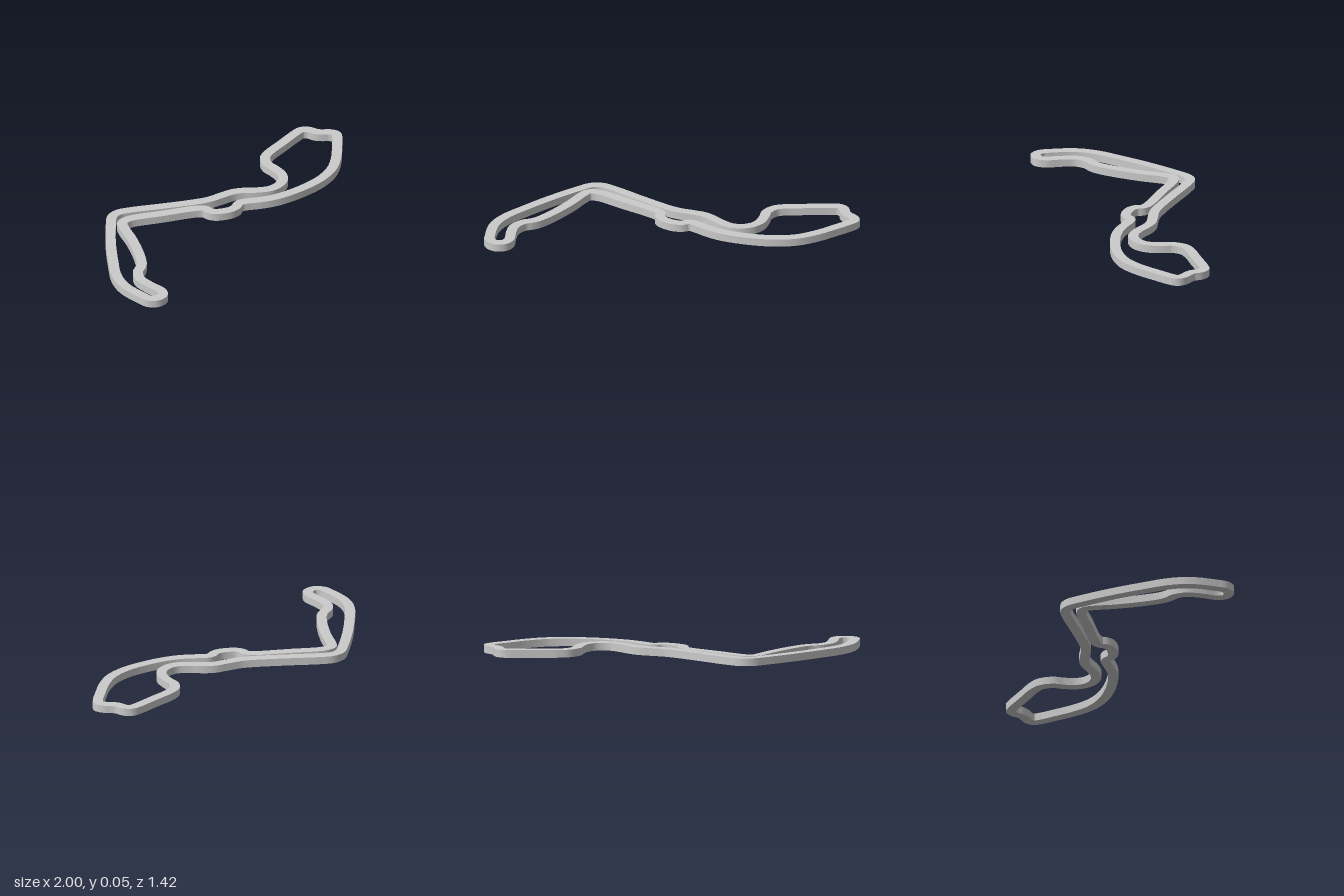
import * as THREE from 'three';

const HALF_WIDTH = 0.031;
const HEIGHT = 0.047;
const STEPS = 640;

// Centreline of the circuit as x, z pairs, clockwise seen from above
const upperStraight = [
  -.62, -.32, -.535, -.31, -.34, -.262, -.155, -.22, -.065, -.208, .03, -.216, .107, -.222,
  .166, -.209, .246, -.174, .33, -.155,
];
const rightLoop = [
  .396, -.174, .444, -.22, .463, -.283, .455, -.358, .44, -.422, .46, -.492, .508, -.535,
  .62, -.594, .765, -.67, .802, -.682, .84, -.666, .872, -.62, .904, -.599, .94, -.583,
  .968, -.551, .957, -.508, .904, -.406, .845, -.3, .765, -.198, .674, -.134, .567, -.091,
  .406, -.058, .3, -.053, .22, -.064,
];
const chicane = [
  .14, -.085, .096, -.092, .07, -.082, .048, -.06, 0, -.045, -.085, -.06, -.117, -.088,
  -.13, -.123, -.16, -.144, -.395, -.19,
];
const leftHairpin = [
  -.6, -.224, -.652, -.203, -.668, -.15, -.684, -.016, -.722, .16, -.76, .272, -.786, .31,
  -.823, .348, -.847, .422, -.829, .508, -.797, .604, -.807, .652, -.856, .676, -.904, .652,
  -.925, .604, -.963, .48, -.968, .4, -.952, .305, -.904, .176, -.824, -.016, -.727, -.209,
  -.674, -.294,
];

function centreline() {
  const flat = [...upperStraight, ...rightLoop, ...chicane, ...leftHairpin];
  const points = [];
  for (let i = 0; i < flat.length; i += 2) points.push(new THREE.Vector3(flat[i], 0, flat[i + 1]));
  const curve = new THREE.CatmullRomCurve3(points, true, 'centripetal');
  curve.arcLengthDivisions = 1500;
  return curve;
}

// Sweep a rectangle round the closed curve: each face has its own vertices, so edges stay sharp
function sweepRectangle(curve) {
  const corners = [[-1, 0], [-1, HEIGHT], [1, HEIGHT], [1, 0]]; // side (outer -1, inner +1), y
  const positions = [];
  const indices = [];
  for (let face = 0; face < 4; face++) {
    const edge = [corners[face], corners[(face + 1) % 4]];
    const base = positions.length / 3;
    for (let i = 0; i < STEPS; i++) {
      const p = curve.getPointAt(i / STEPS);
      const t = curve.getTangentAt(i / STEPS);
      for (const [side, y] of edge) {
        positions.push(p.x - t.z * side * HALF_WIDTH, y, p.z + t.x * side * HALF_WIDTH);
      }
      const a = base + 2 * i;
      const b = base + 2 * ((i + 1) % STEPS);
      indices.push(a, a + 1, b + 1, a, b + 1, b);
    }
  }
  const geometry = new THREE.BufferGeometry();
  geometry.setAttribute('position', new THREE.Float32BufferAttribute(positions, 3));
  geometry.setIndex(indices);
  geometry.computeVertexNormals();
  return geometry;
}

export function createModel() {
  const group = new THREE.Group();
  group.name = 'raceCircuit';
  const material = new THREE.MeshStandardMaterial({ color: 0xcccccc });
  const track = new THREE.Mesh(sweepRectangle(centreline()), material);
  track.name = 'track';
  group.add(track);
  return group;
}
